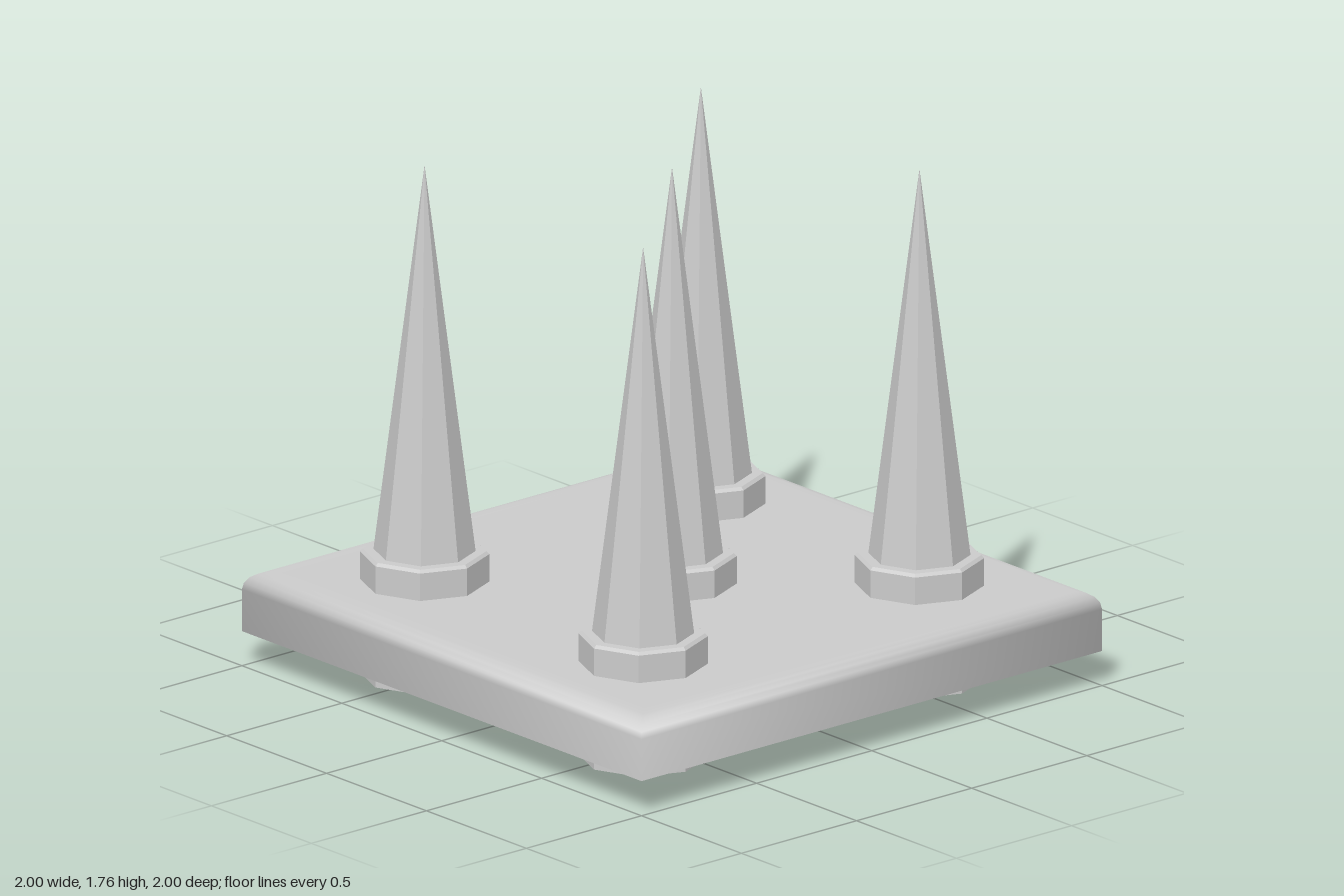
import * as THREE from 'three';

const smooth = new THREE.MeshStandardMaterial({ color: 0xcccccc, side: THREE.DoubleSide });
const faceted = new THREE.MeshStandardMaterial({ color: 0xcccccc, side: THREE.DoubleSide, flatShading: true });

// Sweep an [radius, y] profile (bottom to top) around the y axis
function sweep(name, profile, sides, material) {
  const points = profile.map(([r, y]) => new THREE.Vector2(r, y));
  const mesh = new THREE.Mesh(new THREE.LatheGeometry(points, sides), material);
  mesh.name = name;
  return mesh;
}

// Square tray, open underneath, with a rounded top edge
function createPlate() {
  const bevel = 0.06, top = 0.325;
  const profile = [[1, 0.12]];
  for (let i = 0; i <= 4; i++) {
    const a = (i / 4) * Math.PI / 2;
    profile.push([1 - bevel + bevel * Math.cos(a), top - bevel + bevel * Math.sin(a)]);
  }
  profile.push([0.9, top], [0, top]);
  const plate = sweep('basePlate', profile.map(([r, y]) => [r * Math.SQRT2, y]), 4, smooth);
  plate.geometry.rotateY(Math.PI / 4);
  return plate;
}

// Octagonal spike whose shaft hangs inside a hollow octagonal sleeve
function createSpike() {
  const group = new THREE.Group();
  group.name = 'spikeAssembly';
  group.add(
    sweep('sleeve', [[0.213, 0], [0.213, 0.42], [0.203, 0.43], [0.168, 0.43]], 8, faceted),
    sweep('spike', [[0.168, 0.11], [0.168, 0.43], [0, 1.765]], 8, faceted)
  );
  return group;
}

export function createModel() {
  const model = new THREE.Group();
  model.name = 'spikeTrap';
  model.add(createPlate());

  // One spike in the middle and one near each corner
  for (const [x, z] of [[0, 0], [-0.6, -0.547], [0.6, -0.547], [-0.6, 0.547], [0.6, 0.547]]) {
    const spike = createSpike();
    spike.position.set(x, 0, z);
    model.add(spike);
  }
  return model;
}
